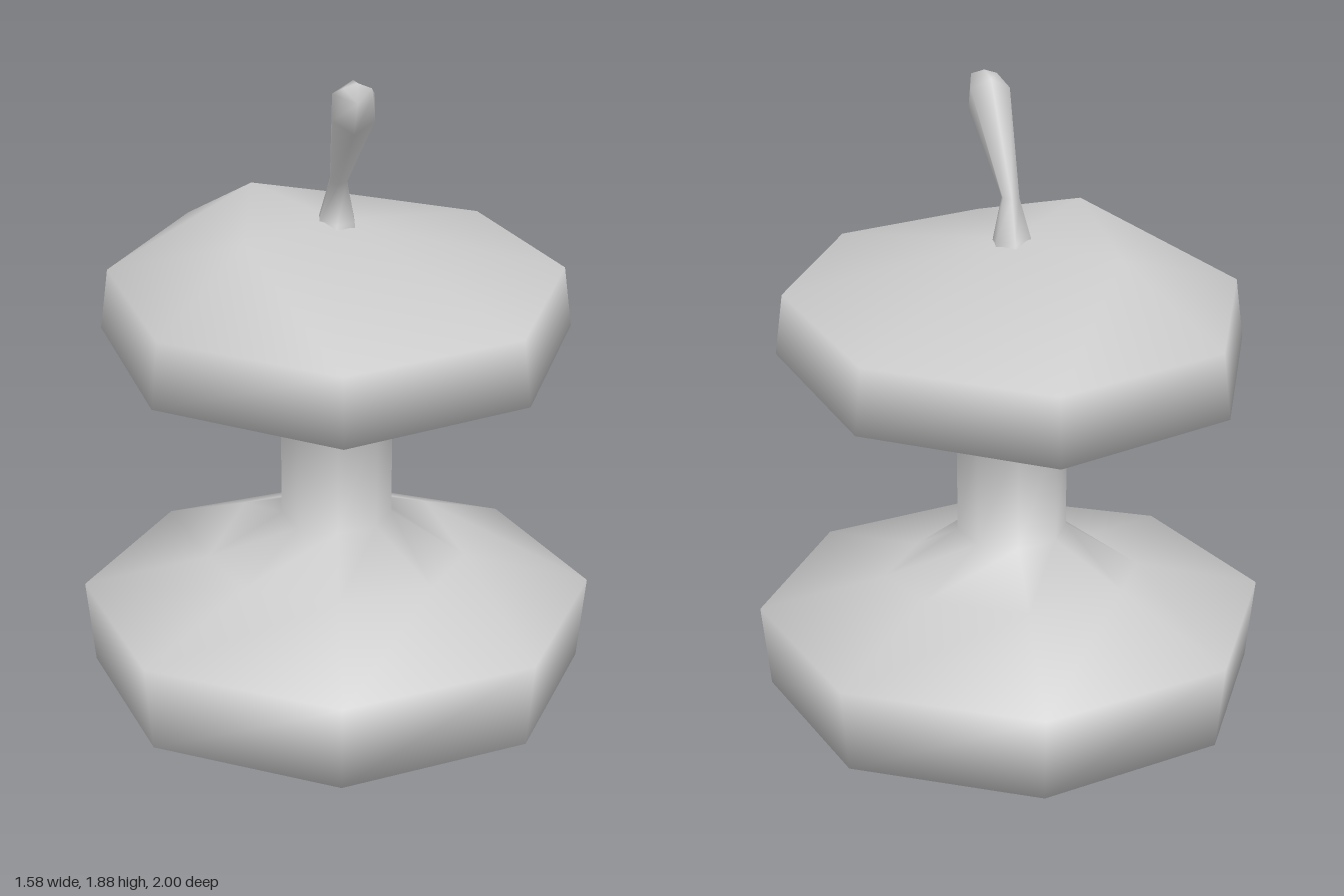
import * as THREE from 'three';

const SIDES = 8;

// Closed ring of points: starts at +v and turns towards +x
function ring(n, [cx, cy, cz], rx, [vy, vz]) {
  return Array.from({ length: n }, (_, i) => {
    const a = (i / n) * Math.PI * 2;
    const c = Math.cos(a);
    return new THREE.Vector3(cx + Math.sin(a) * rx, cy + c * vy, cz + c * vz);
  });
}

// Triangles joining neighbouring rings of n points
function skin(n, count) {
  const index = [];
  for (let r = 0; r < count - 1; r++) {
    for (let i = 0; i < n; i++) {
      const j = (i + 1) % n;
      const a = r * n + i, b = r * n + j;
      index.push(a, b, b + n, a, b + n, a + n);
    }
  }
  return index;
}

// Indexed geometry with smooth shared normals
function smooth(points, index) {
  const geometry = new THREE.BufferGeometry().setFromPoints(points);
  geometry.setIndex(index);
  geometry.computeVertexNormals();
  return geometry;
}

function coreGeometry() {
  // height, x radius, z radius, z centre
  const rings = [
    [0, 0.765, 0.77, 0.018],
    [0.26, 0.79, 0.795, 0.015],
    [0.35, 0.4, 0.33, 0.013],
    [0.5, 0.17, 0.173, 0.013],
    [0.85, 0.17, 0.173, 0.013],
    [0.97, 0.3, 0.298, 0.012],
    [1.1, 0.705, 1.0, 0],
    [1.28, 0.68, 0.97, 0],
  ].map(([y, rx, rz, cz]) => ring(SIDES, [0, y, cz], rx, [0, rz]));

  // The back of the lower shoulder slopes straight from rim to neck
  for (const i of [3, 4, 5]) rings[2][i].lerpVectors(rings[1][i], rings[3][i], 0.6);

  const index = skin(SIDES, rings.length);
  const points = rings.flat();

  // Flat underside
  for (let i = 1; i < SIDES - 1; i++) index.push(0, i + 1, i);

  // Crown: stem foot plus a raised ridge on one side
  const c = points.length, p = c + 1, q = c + 2;
  points.push(
    new THREE.Vector3(0, 1.43, 0),
    new THREE.Vector3(-0.26, 1.455, 0.37),
    new THREE.Vector3(-0.26, 1.455, -0.37),
  );
  const rim = (i) => (rings.length - 1) * SIDES + (i % SIDES);
  const fan = (hub, from, to) => {
    for (let i = from; i < to; i++) index.push(hub, rim(i), rim(i + 1));
  };
  fan(c, 0, 4);
  fan(q, 4, 6);
  fan(p, 6, 8);
  index.push(c, rim(4), q, q, rim(6), p, p, rim(0), c, c, q, p);
  return smooth(points, index);
}

function stemGeometry() {
  const n = 6;
  const rings = [
    ring(n, [0, 1.38, 0], 0.068, [0, 0.1]),
    ring(n, [0, 1.43, 0], 0.06, [0, 0.078]),
    ring(n, [0.005, 1.55, 0.008], 0.028, [-0.004, 0.037]),
    ring(n, [0.043, 1.805, 0.225], 0.068, [-0.065, 0.06]),
    ring(n, [0.052, 1.855, 0.29], 0.045, [-0.025, 0.02]),
  ];
  const index = skin(n, rings.length);
  // Cut tip
  const last = (rings.length - 1) * n;
  for (let i = 1; i < n - 1; i++) index.push(last, last + i, last + i + 1);
  return smooth(rings.flat(), index);
}

export function createModel() {
  const grey = new THREE.MeshStandardMaterial({ color: 0xcccccc });
  grey.name = 'light grey';

  const model = new THREE.Group();
  model.name = 'eatenFruitCore';
  const parts = { core: coreGeometry(), stem: stemGeometry() };
  for (const [name, geometry] of Object.entries(parts)) {
    const mesh = new THREE.Mesh(geometry, grey);
    mesh.name = name;
    model.add(mesh);
  }
  return model;
}
